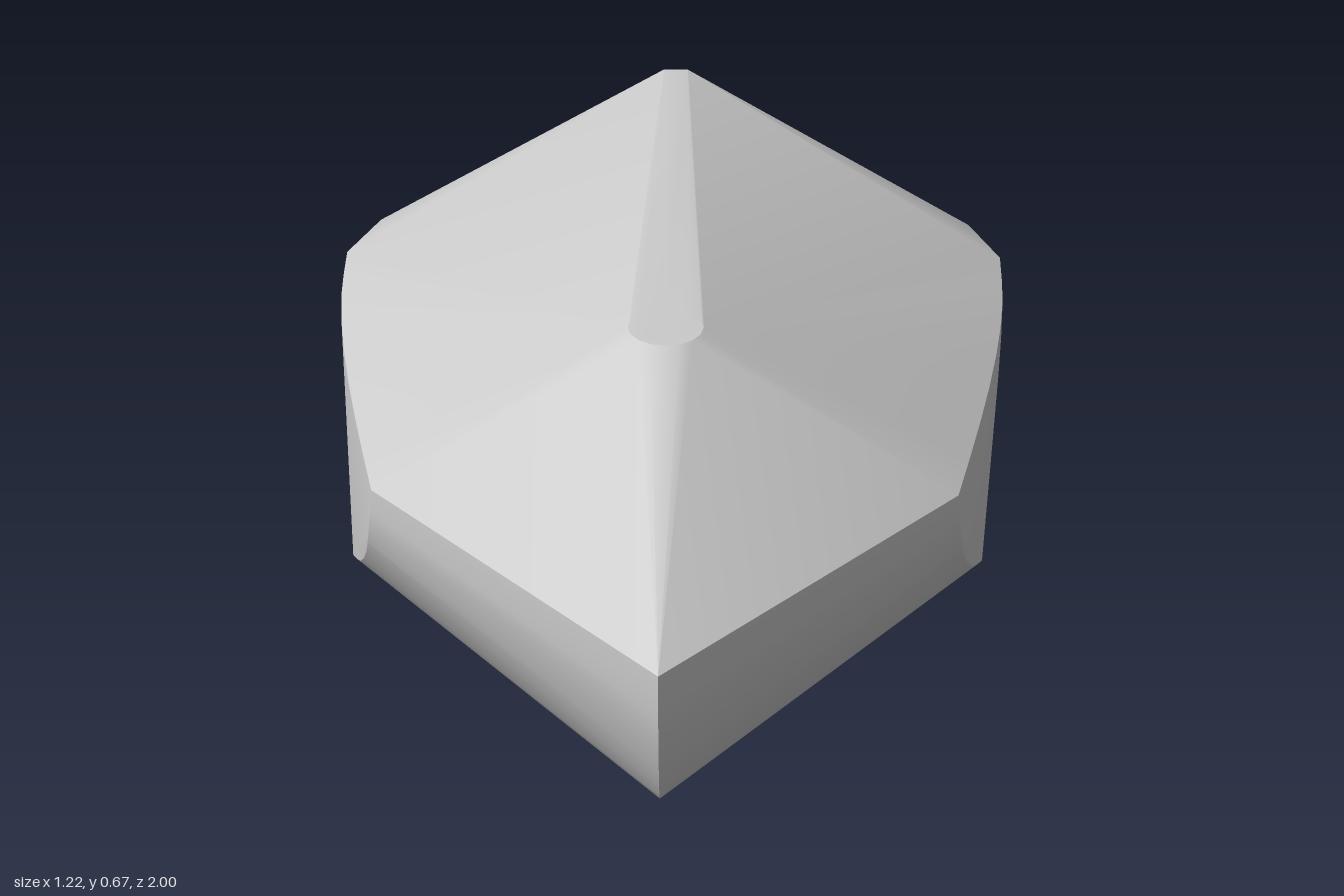
import * as THREE from 'three';
import { ConvexGeometry } from 'three/addons/geometries/ConvexGeometry.js';
import { toCreasedNormals } from 'three/addons/utils/BufferGeometryUtils.js';

// Samples a smooth curve through a few [x, y, z] points
function sample(points, count) {
  return new THREE.CatmullRomCurve3(points.map((p) => new THREE.Vector3(...p))).getPoints(count);
}

export function createModel() {
  const group = new THREE.Group();
  const half = [];

  // Rim at the widest level, from shoulder to stern corner
  half.push(...sample([[0.54, 0.37, 0.32], [0.575, 0.37, 0.05], [0.6, 0.37, -0.2],
    [0.608, 0.37, -0.4], [0.6, 0.37, -0.56]], 8));

  // Rounded bow profile, running down to the flat underside
  half.push(...sample([[0, 0.37, 1], [0, 0.26, 0.99], [0, 0.14, 0.94],
    [0, 0.035, 0.86], [0, 0.01, 0.82], [0, 0, 0.77]], 12));

  // Shoulder curve, where the bow wall meets the side panel
  half.push(...sample([[0.54, 0.37, 0.32], [0.545, 0.28, 0.31], [0.55, 0.2, 0.25],
    [0.562, 0.125, 0.155], [0.578, 0.072, 0.04]], 8));

  // Side panel bulge and its lower rear corner
  half.push(...sample([[0.608, 0.37, -0.4], [0.604, 0.27, -0.4], [0.595, 0.16, -0.4],
    [0.579, 0.072, -0.4]], 4));
  half.push(...sample([[0.6, 0.37, -0.56], [0.597, 0.25, -0.57], [0.579, 0.072, -0.61]], 4));

  // Rear quarter and stern profiles
  half.push(...sample([[0.54, 0.37, -0.68], [0.54, 0.25, -0.67], [0.53, 0.14, -0.64],
    [0.5, 0.06, -0.6]], 5));
  half.push(...sample([[0.165, 0.37, -1], [0.165, 0.25, -0.985], [0.16, 0.13, -0.955],
    [0.15, 0.03, -0.92], [0.14, 0.006, -0.9], [0.13, 0, -0.88]], 10));

  // Shallow turn of the underside
  half.push(...sample([[0.33, 0.017, 0.3], [0.33, 0.017, -0.7]], 1));
  half.push(...sample([[0.13, 0, 0.55], [0.13, 0, -0.85]], 1));

  // Rounded roof peak and the narrow rear end of the ridge
  for (let i = 0; i <= 8; i++) {
    const a = (i / 8) * Math.PI;
    half.push(new THREE.Vector3(0.07 * Math.sin(a), 0.67, 0.23 + 0.07 * Math.cos(a)));
  }
  half.push(new THREE.Vector3(0.022, 0.625, -0.8));

  // Mirror across the centre plane and wrap in one convex skin
  const mirrored = half.filter((p) => p.x > 0.001).map((p) => new THREE.Vector3(-p.x, p.y, p.z));
  const geometry = toCreasedNormals(new ConvexGeometry([...half, ...mirrored]), 0.4);
  const shell = new THREE.Mesh(geometry, new THREE.MeshStandardMaterial({ color: 0xcccccc }));
  shell.name = 'facetedHull';
  group.add(shell);
  return group;
}
